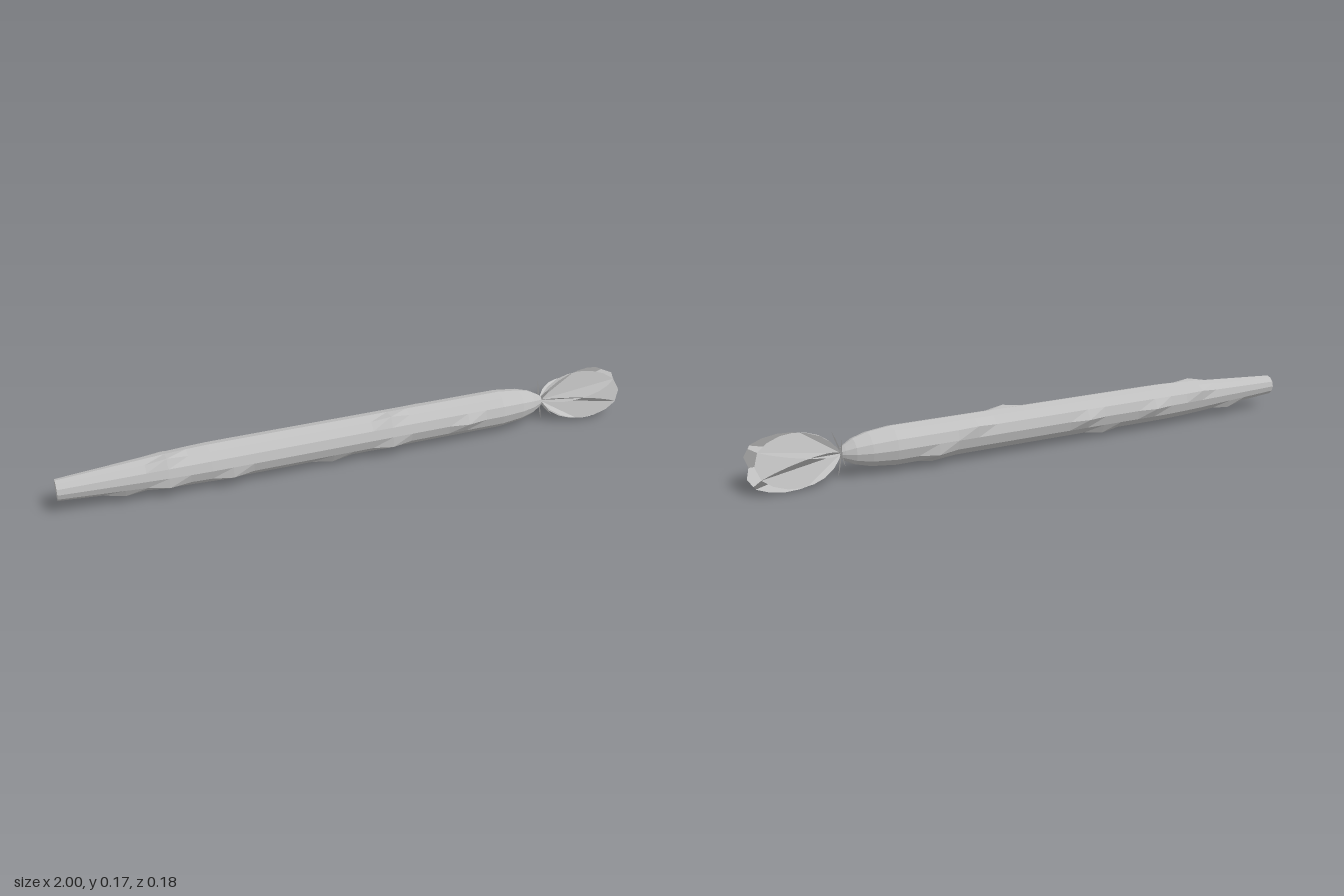
import * as THREE from 'three';

const SIDES = 12;
const AXIS_Y = 0.088;

// Body outline as [x, radius] stations
const PROFILE = [[-1, 0.035], [-0.62, 0.061], [-0.5, 0.065], [0.54, 0.065], [0.62, 0.056],
  [0.67, 0.042], [0.7, 0.025], [0.71, 0.018]];

// Raised bumps as [x, side index]; side 0 = front, 3 = bottom, 6 = back, 9 = top
const BUMPS = [[-0.76, 2], [-0.62, 1], [-0.41, 1], [0.11, 1], [0.11, 10], [-0.62, 10], [-0.41, 6],
  [-0.13, 6], [0.39, 3], [0.39, 0], [-0.76, 4], [-0.2, 4], [-0.62, 7], [0.25, 7], [-0.06, 2], [0.39, 5]];

function radiusAt(x) {
  for (let i = 1; i < PROFILE.length; i++) {
    const [x0, r0] = PROFILE[i - 1], [x1, r1] = PROFILE[i];
    if (x <= x1) return THREE.MathUtils.lerp(r0, r1, (x - x0) / (x1 - x0));
  }
  return 0;
}

// Twelve-sided lathe with single vertices pushed outward for the bumps
function bodyGeometry() {
  const xs = [];
  for (let i = 0; i <= 22; i++) xs.push(-1 + i * 0.07);
  xs.push(0.58, 0.62, 0.67, 0.7, 0.71);
  const points = xs.map(x => new THREE.Vector2(radiusAt(x), x));
  points.unshift(new THREE.Vector2(0, -1));
  points.push(new THREE.Vector2(0, 0.715));
  const geo = new THREE.LatheGeometry(points, SIDES);
  const pos = geo.attributes.position;
  for (const [bx, side] of BUMPS) {
    let ring = 1;
    points.forEach((p, j) => {
      if (j > 0 && Math.abs(p.y - bx) < Math.abs(points[ring].y - bx)) ring = j;
    });
    const scale = 1 + 0.011 / points[ring].x;
    for (const s of side === 0 ? [0, SIDES] : [side]) {
      const k = s * points.length + ring;
      pos.setX(k, pos.getX(k) * scale);
      pos.setZ(k, pos.getZ(k) * scale);
    }
  }
  return geo.rotateZ(-Math.PI / 2);
}

// Flat leaf lying along +x, mirrored about its midline and tilted upward
function leafGeometry(halfOutline, tilt) {
  const pts = [...halfOutline, ...halfOutline.slice(1, -1).reverse().map(([x, w]) => [x, -w])];
  const shape = new THREE.Shape(pts.map(([x, w]) => new THREE.Vector2(x, w)));
  return new THREE.ShapeGeometry(shape).rotateX(-Math.PI / 2).rotateZ(tilt);
}

export function createModel() {
  const grey = new THREE.MeshStandardMaterial({ color: 0xc0c0c0, flatShading: true, side: THREE.DoubleSide });
  grey.name = 'light grey';
  const model = new THREE.Group();
  model.name = 'cucumberWithFlower';
  model.position.y = AXIS_Y;

  const body = new THREE.Mesh(bodyGeometry(), grey);
  body.name = 'body';
  model.add(body);

  // Five wide overlapping petals and five narrow sepals between them
  const petalGeo = leafGeometry([[0, 0], [0.012, 0.018], [0.035, 0.044], [0.07, 0.067], [0.11, 0.08],
    [0.155, 0.085], [0.2, 0.081], [0.245, 0.066], [0.28, 0.043], [0.297, 0]], 0.205);
  const sepalGeo = leafGeometry([[0, 0], [0.02, 0.006], [0.05, 0.005], [0.077, 0]], 1.4);
  const flower = new THREE.Group();
  flower.name = 'flower';
  flower.position.x = 0.708;
  for (let i = 0; i < 5; i++) {
    const petal = new THREE.Mesh(petalGeo, grey);
    petal.name = 'petal';
    petal.rotation.x = i * Math.PI * 0.4;
    const sepal = new THREE.Mesh(sepalGeo, grey);
    sepal.name = 'sepal';
    sepal.rotation.x = (i + 0.5) * Math.PI * 0.4;
    flower.add(petal, sepal);
  }
  model.add(flower);

  const root = new THREE.Group();
  root.name = 'model';
  root.add(model);
  return root;
}
